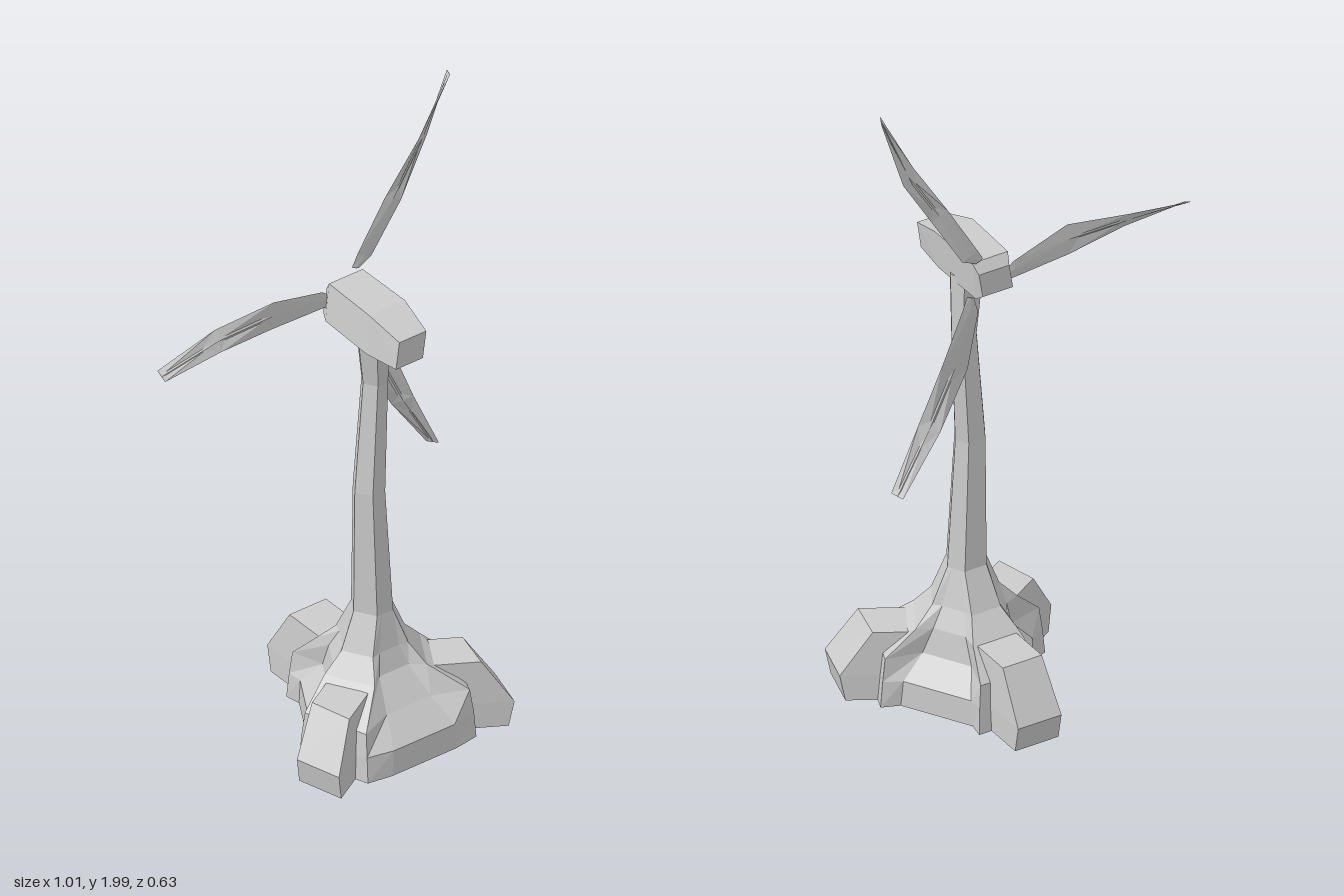
import * as THREE from 'three';

const material = new THREE.MeshStandardMaterial({ color: 0xcccccc, flatShading: true, side: THREE.DoubleSide });

// Skin a list of equal-sized rings; optionally close the first and last ring.
function loft(name, rings, capStart, capEnd) {
  const pos = [];
  const n = rings[0].length;
  const tri = (a, b, c) => pos.push(...a, ...b, ...c);
  for (let k = 0; k < rings.length - 1; k++) {
    const a = rings[k], b = rings[k + 1];
    for (let i = 0; i < n; i++) {
      const j = (i + 1) % n;
      tri(a[i], a[j], b[j]);
      tri(a[i], b[j], b[i]);
    }
  }
  const first = rings[0], last = rings[rings.length - 1];
  for (let i = 1; i < n - 1; i++) {
    if (capStart) tri(first[0], first[i + 1], first[i]);
    if (capEnd) tri(last[0], last[i], last[i + 1]);
  }
  const geometry = new THREE.BufferGeometry();
  geometry.setAttribute('position', new THREE.Float32BufferAttribute(pos, 3));
  geometry.computeVertexNormals();
  const mesh = new THREE.Mesh(geometry, material);
  mesh.name = name;
  return mesh;
}

const CX = 0.163, CZ = 0.057;

// The three arms: skew pushes the front corner of an outer end further out,
// reach lengthens the collar, panel pushes out the wall that follows the arm.
const ARMS = [
  { angle: -30, skew: 0.018, reach: 0.027, panel: 0, footTop: 0.215 },
  { angle: 90, skew: 0, reach: 0, panel: 0, footTop: 0.228 },
  { angle: 210, skew: -0.018, reach: 0.027, panel: 0.065, footTop: 0.215 },
].map((arm) => ({ ...arm, angle: THREE.MathUtils.degToRad(arm.angle) }));

// Point at radius r and sideways offset s along a direction of the plan.
const armPoint = (a, r, s, y, cx = CX, cz = CZ) => [
  cx + r * Math.cos(a) - s * Math.sin(a), y, cz - r * Math.sin(a) - s * Math.cos(a),
];

// Truncated triangle: end distance e and end half width w.
const triRing = (y, e, w, cx, cz) =>
  ARMS.flatMap(({ angle }) => [armPoint(angle, e, -w, y, cx, cz), armPoint(angle, e, w, y, cx, cz)]);

export function createModel() {
  const group = new THREE.Group();

  // Hollow base shell: collars rising into ribs, with recessed panels and ledges between.
  // [y, rib distance, rib half width, panel distance, panel half width, outer share, x, z]
  const base = [
    [0, 0.235, 0.11, 0.182, 0.112, 1, CX, CZ],
    [0.08, 0.229, 0.105, 0.18, 0.105, 1, CX, CZ],
    [0.15, 0.223, 0.098, 0.122, 0.076, 0.9, CX, CZ],
    [0.23, 0.147, 0.075, 0.108, 0.05, 0, CX, CZ],
    [0.29, 0.098, 0.047, 0.083, 0.034, 0, 0.162, 0.062],
    [0.4, 0.052, 0.035, 0.056, 0.012, 0, 0.162, 0.07],
  ];
  group.add(loft('base', base.map(([y, e, w, p, q, k, x, z]) => ARMS.flatMap((arm) => {
    const r = e + arm.reach * k, skew = arm.skew * k;
    const side = arm.angle + Math.PI / 3, d = p + arm.panel * k * k;
    return [
      armPoint(arm.angle, r + skew, -w, y, x, z), armPoint(arm.angle, r - skew, w, y, x, z),
      armPoint(side, d, -q, y, x, z), armPoint(side, d, q, y, x, z),
    ];
  })), false, false));

  // Slightly crooked tower: [y, end distance, half width, x, z]
  const tower = [
    [0.4, 0.052, 0.035, 0.162, 0.07],
    [0.8, 0.04, 0.027, 0.147, 0.075],
    [1.15, 0.033, 0.022, 0.168, 0.073],
    [1.34, 0.043, 0.03, 0.153, 0.085],
  ];
  group.add(loft('tower', tower.map((t) => triRing(...t)), false, true));

  // Feet, open below: [y, outer radius, inner radius, half width]
  for (const { angle, skew, footTop } of ARMS) {
    const levels = [[0, 0.357, 0.215, 0.07], [0.08, 0.373, 0.21, 0.07], [footTop, 0.282, 0.15, 0.063]];
    group.add(loft('foot', levels.map(([y, r, inner, w]) => [
      armPoint(angle, r + skew, -w, y), armPoint(angle, r - skew, w, y),
      armPoint(angle, inner, w, y), armPoint(angle, inner, -w, y),
    ]), false, true));
  }

  // Nacelle leaning a little sideways: [z, left x, right x, bottom y, top y] from rear to front
  const lean = 0.006;
  const nacelle = [
    [-0.058, 0.095, 0.193, 1.335, 1.41],
    [-0.036, 0.086, 0.202, 1.32, 1.44],
    [0.155, 0.08, 0.203, 1.318, 1.44],
    [0.268, 0.097, 0.19, 1.32, 1.405],
  ];
  group.add(loft('nacelle', nacelle.map(([z, x0, x1, y0, y1]) =>
    [[x0 - lean, y0, z], [x1 - lean, y0, z], [x1 + lean, y1, z], [x0 + lean, y1, z]]), true, true));

  // Twisted blades: each has its own angle, mid-span high edge and tip set-back
  for (const [deg, bulge, back] of [[180, 0.075, 0], [63, 0.037, 0], [-66, 0.078, 0.018]]) {
    // [distance, low edge, high edge, z of low edge, z of high edge, half thickness]
    const sections = [
      [0.06, -0.03, -0.005, -0.045, -0.045, 0.002],
      [0.1, -0.028, 0.026, -0.047, -0.047, 0.002],
      [0.28, -0.018, bulge, -0.04, -0.033, 0.002],
      [0.47, -0.003, 0.054, -0.02, -0.05, 0.002],
      [0.68, -0.004, 0.014, -back, -0.035 - back, 0.002],
    ];
    const c = Math.cos(THREE.MathUtils.degToRad(deg)), s = Math.sin(THREE.MathUtils.degToRad(deg));
    const at = (u, v, z) => [0.178 + u * c + v * s, 1.385 + u * s - v * c, z];
    group.add(loft('blade', sections.map(([u, v0, v1, z0, z1, h]) => {
      const vm = (v0 + v1) / 2, zm = (z0 + z1) / 2;
      return [at(u, vm, zm + h), at(u, v1, z1), at(u, vm, zm - h), at(u, v0, z0)];
    }), true, true));
  }

  return group;
}
